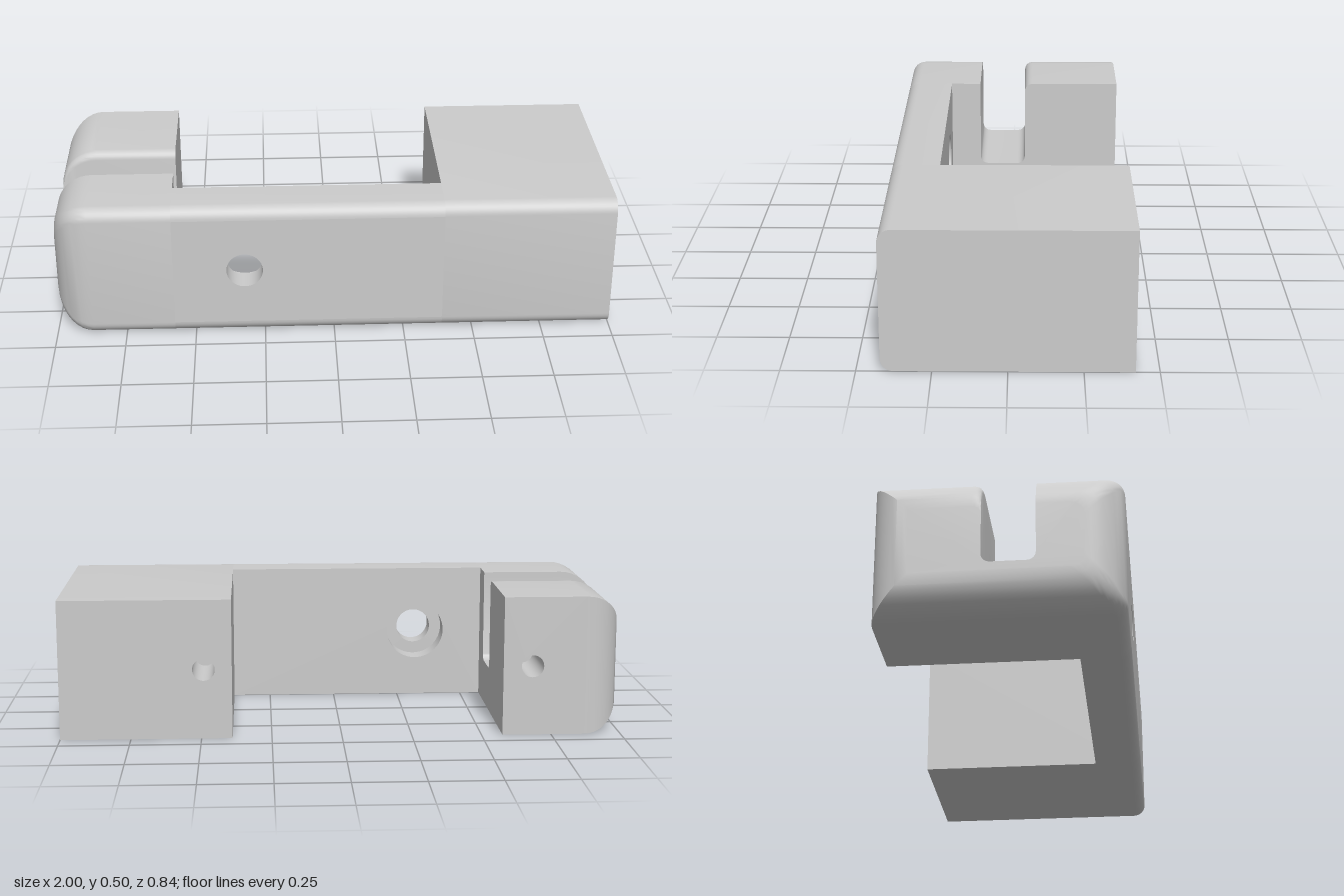
import * as THREE from 'three';
import { toCreasedNormals } from 'three/addons/utils/BufferGeometryUtils.js';

const H = 0.5, ZB = -0.42, ZF = 0.42;       // height, back, front
const XL = -1, XA = -0.575, XB = 0.39, XR = 1; // clamp end, gap start, gap end, plain end
const R = 0.13, RF = 0.045, RS = 0.03;      // end, front-edge and slot radii
const ZI = 0.245;                           // back of the bridge
const mat = new THREE.MeshStandardMaterial({ color: 0xcccccc });
const thin = new THREE.MeshStandardMaterial({ color: 0xcccccc, side: THREE.DoubleSide });

// Points (z, y) along an arc, angles in quarter turns
function arc(z, y, r, q0, q1, n = 8) {
  return Array.from({ length: n + 1 }, (_, i) => {
    const a = (q0 + (q1 - q0) * i / n) * Math.PI / 2;
    return new THREE.Vector2(z + r * Math.cos(a), y + r * Math.sin(a));
  });
}

// Cross-section with rounded front edges, inset by d
function section(zBack, d = 0, slot = []) {
  return [
    new THREE.Vector2(zBack + d, d), new THREE.Vector2(zBack + d, H - d),
    ...slot,
    ...arc(ZF - RF - d, H - RF - d, RF, 1, 0),
    ...arc(ZF - RF - d, RF + d, RF, 0, -1),
  ];
}

// Slot open at the top: rounded lip, rounded floor corners, sharp front lip
function slotPoints(d) {
  const z0 = -0.05, z1 = 0.13, floor = 0.16;
  return [
    ...arc(z0 - RS, H - d - RS, RS, 1, 0, 6),
    ...arc(z0 + RS, floor + RS, RS, 2, 3, 6),
    ...arc(z1 - RS, floor + RS, RS, 3, 4, 6),
    new THREE.Vector2(z1, H - d),
  ];
}

// Joins sections along x; skip(edge, step) leaves a face open for a drilled panel
function loft(name, xs, loops, skip, caps = [true, true]) {
  const pos = [], n = loops[0].length;
  const put = (s, i) => pos.push(xs[s], loops[s][i].y, loops[s][i].x);
  for (let s = 0; s < xs.length - 1; s++) {
    for (let i = 0; i < n; i++) {
      if (skip(i, s)) continue;
      const j = (i + 1) % n;
      put(s, i); put(s, j); put(s + 1, j);
      put(s, i); put(s + 1, j); put(s + 1, i);
    }
  }
  [0, xs.length - 1].forEach((s, end) => {
    if (!caps[end]) return;
    for (const t of THREE.ShapeUtils.triangulateShape(loops[s], [])) {
      const ccw = THREE.ShapeUtils.area(t.map(i => loops[s][i])) > 0;
      const order = ccw === (end === 0) ? t : [t[0], t[2], t[1]];
      order.forEach(i => put(s, i));
    }
  });
  const geo = new THREE.BufferGeometry();
  geo.setAttribute('position', new THREE.Float32BufferAttribute(pos, 3));
  return named(name, toCreasedNormals(geo, 0.5));
}

function named(name, geo, material = mat) {
  const mesh = new THREE.Mesh(geo, material);
  mesh.name = name;
  return mesh;
}

// Flat upright panel with one round hole
function panel(name, x0, x1, y0, y1, z, hx, hy, hr, back) {
  const f = back ? -1 : 1;
  const shape = new THREE.Shape([[x0, y0], [x1, y0], [x1, y1], [x0, y1]].map(([x, y]) => new THREE.Vector2(f * x, y)));
  shape.holes.push(new THREE.Path().absarc(f * hx, hy, hr, 0, Math.PI * 2, true));
  const mesh = named(name, new THREE.ShapeGeometry(shape, 24));
  mesh.position.z = z;
  if (back) mesh.rotation.y = Math.PI;
  return mesh;
}

// Wall of a hole running along z
function bore(name, x, y, r, z0, z1) {
  const geo = new THREE.CylinderGeometry(r, r, z1 - z0, 48, 1, true);
  geo.rotateX(Math.PI / 2).translate(x, y, (z0 + z1) / 2);
  return named(name, geo, thin);
}

// Flat ring or disc facing the back
function ring(name, x, y, z, inner, outer) {
  const geo = inner ? new THREE.RingGeometry(inner, outer, 48) : new THREE.CircleGeometry(outer, 48);
  geo.rotateY(Math.PI).translate(x, y, z);
  return named(name, geo);
}

export function createModel() {
  const g = new THREE.Group();
  g.name = 'bracket';

  // Slotted arm with rounded outer end
  const xs = [], loops = [];
  for (let i = 0; i <= 10; i++) {
    const a = i / 10 * Math.PI / 2, d = R * (1 - Math.sin(a));
    xs.push(XL + R * (1 - Math.cos(a)));
    loops.push(section(ZB, d, slotPoints(d)));
  }
  xs.push(XA);
  loops.push(section(ZB, 0, slotPoints(0)));
  g.add(loft('slottedArm', xs, loops, (i, s) => i === 0 && s === 10));

  // Bridge, open front and back for the screw hole
  const bridge = section(ZI);
  g.add(loft('bridge', [XA, XB], [bridge, bridge], i => i === 0 || i === 10, [false, false]));

  // Plain block
  const block = section(ZB);
  g.add(loft('plainBlock', [XB, XR], [block, block], i => i === 0));

  // Counterbored screw hole through the bridge
  const hx = -0.32, hy = 0.255, step = ZI + 0.09;
  g.add(
    panel('bridgeFront', XA, XB, RF, H - RF, ZF, hx, hy, 0.065, false),
    panel('bridgeBack', XA, XB, 0, H, ZI, hx, hy, 0.11, true),
    bore('screwHole', hx, hy, 0.065, step, ZF),
    bore('counterbore', hx, hy, 0.11, ZI, step),
    ring('counterboreShelf', hx, hy, step, 0.065, 0.11),
  );

  // Blind holes in the two back faces
  for (const [side, x0, x1, x] of [['arm', XL + R, XA, -0.68], ['block', XB, XR, 0.49]]) {
    g.add(
      panel(side + 'Back', x0, x1, 0, H, ZB, x, 0.25, 0.04, true),
      bore(side + 'PinHole', x, 0.25, 0.04, ZB, ZB + 0.25),
      ring(side + 'PinHoleEnd', x, 0.25, ZB + 0.25, 0, 0.04),
    );
  }
  return g;
}
